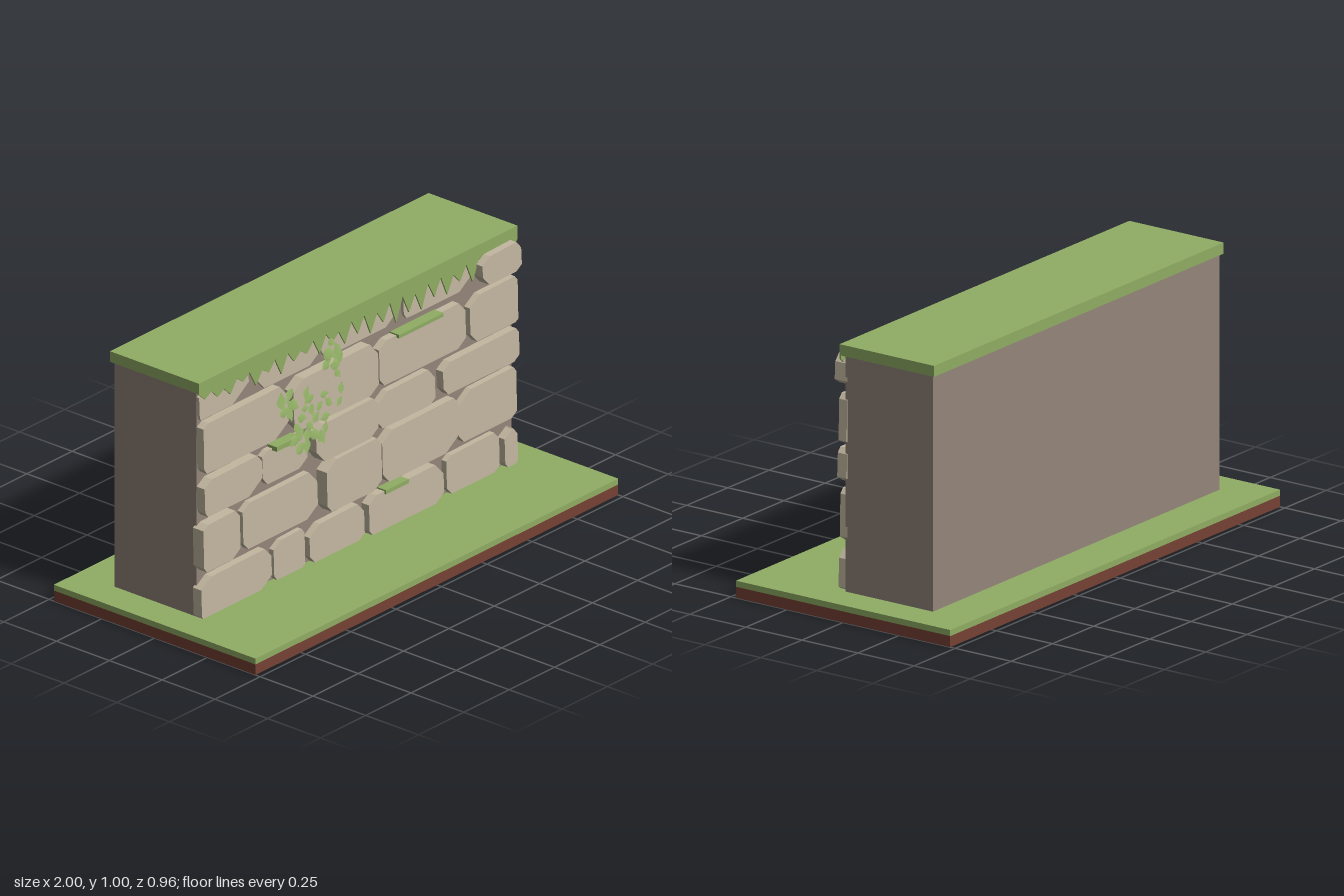
import * as THREE from 'three';

const mat = (name, color, side = THREE.FrontSide) => {
  const m = new THREE.MeshStandardMaterial({ color, side });
  m.name = name;
  return m;
};

// Each stone: x0, x1, y0, y1, front z, then corner cuts (bottom left, bottom right, top right, top left)
const courses = {
  bottomCourse: [
    [-0.88, -0.49, 0.065, 0.222, 0.118, 0.01, 0.04, 0.04, 0.04],
    [-0.47, -0.295, 0.067, 0.222, 0.108, 0.02, 0.01, 0.02, 0.03],
    [-0.28, 0.025, 0.067, 0.215, 0.115, 0.03, 0.02, 0.04, 0.04],
    [0.04, 0.455, 0.067, 0.222, 0.122, 0.02, 0.03, 0.05, 0.03],
    [0.48, 0.775, 0.067, 0.225, 0.11, 0.03, 0.02, 0.03, 0.02],
    [0.79, 0.865, 0.067, 0.215, 0.12, 0.02, 0.01, 0.03, 0.03],
  ],
  secondCourse: [
    [-0.88, -0.675, 0.25, 0.44, 0.128, 0.02, 0.03, 0.03, 0.02],
    [-0.645, -0.23, 0.25, 0.435, 0.112, 0.03, 0.04, 0.05, 0.03],
    [-0.21, 0.095, 0.25, 0.455, 0.137, 0.03, 0.03, 0.03, 0.04],
    [0.115, 0.54, 0.245, 0.45, 0.12, 0.04, 0.05, 0.03, 0.04],
    [0.545, 0.868, 0.25, 0.45, 0.112, 0.03, 0.02, 0.02, 0.05],
  ],
  thirdCourse: [
    [-0.87, -0.55, 0.465, 0.612, 0.125, 0.02, 0.05, 0.03, 0.03],
    [-0.535, -0.285, 0.467, 0.605, 0.11, 0.03, 0.03, 0.03, 0.02],
    [-0.27, 0.075, 0.465, 0.62, 0.137, 0.05, 0.03, 0.03, 0.03],
    [0.095, 0.415, 0.465, 0.608, 0.115, 0.03, 0.02, 0.04, 0.04],
    [0.45, 0.873, 0.475, 0.605, 0.12, 0.03, 0.02, 0.02, 0.03],
  ],
  fourthCourse: [
    [-0.87, -0.4, 0.635, 0.838, 0.12, 0.02, 0.05, 0.05, 0.02],
    [-0.385, 0.085, 0.63, 0.835, 0.13, 0.04, 0.03, 0.05, 0.04],
    [0.1, 0.58, 0.635, 0.815, 0.118, 0.03, 0.03, 0.04, 0.03],
    [0.605, 0.873, 0.625, 0.81, 0.114, 0.04, 0.01, 0.02, 0.04],
  ],
  topCourse: [
    [-0.87, -0.595, 0.845, 0.957, 0.099, 0.01, 0.06, 0.02, 0.02],
    [-0.56, -0.215, 0.848, 0.957, 0.099, 0.05, 0.03, 0.02, 0.02],
    [-0.2, 0.235, 0.85, 0.957, 0.099, 0.03, 0.05, 0.02, 0.02],
    [0.255, 0.655, 0.845, 0.957, 0.099, 0.02, 0.06, 0.02, 0.02],
    [0.65, 0.868, 0.84, 0.957, 0.135, 0.04, 0.02, 0.03, 0.03],
  ],
};

// Sharp-edged eight-sided block, bedded into the wall face
function stoneGeometry([x0, x1, y0, y1, front, bl, br, tr, tl]) {
  const shape = new THREE.Shape([
    [x0 + bl, y0], [x1 - br * 1.5, y0], [x1, y0 + br], [x1 - 0.004, y1 - tr],
    [x1 - tr, y1], [x0 + tl * 1.4, y1 - 0.004], [x0, y1 - tl], [x0 + 0.004, y0 + bl],
  ].map(([x, y]) => new THREE.Vector2(x, y)));
  const back = 0.078;
  return new THREE.ExtrudeGeometry(shape, { depth: front - back, bevelEnabled: false })
    .translate(0, 0, back);
}

// Hanging grass edge: saw teeth of varied length below the cap's front
function fringeGeometry() {
  const tips = [0.925, 0.91, 0.895, 0.92, 0.88, 0.905, 0.875, 0.9, 0.905, 0.88, 0.9, 0.87,
    0.885, 0.86, 0.88, 0.853, 0.87, 0.855, 0.88, 0.865, 0.89, 0.865, 0.9, 0.885, 0.91];
  const left = -0.88;
  const step = 1.757 / tips.length;
  const shape = new THREE.Shape();
  shape.moveTo(left, 1);
  shape.lineTo(left, 0.955);
  tips.forEach((y, i) => {
    shape.lineTo(left + (i + 0.5) * step, y);
    shape.lineTo(left + (i + 1) * step, i % 3 === 1 ? 0.93 : 0.945);
  });
  shape.lineTo(0.877, 1);
  return new THREE.ExtrudeGeometry(shape, { depth: 0.006, bevelEnabled: false }).translate(0, 0, 0.1);
}

// Pointed leaf folded along its middle rib
function leafGeometry() {
  const s = new THREE.Shape();
  s.moveTo(0, -0.5);
  [[0.28, -0.22], [0.34, 0.05], [0.15, 0.2], [0, 0.5], [-0.2, 0.22], [-0.32, 0], [-0.26, -0.25]]
    .forEach(([x, y]) => s.lineTo(x, y));
  const g = new THREE.ShapeGeometry(s);
  const p = g.attributes.position;
  for (let i = 0; i < p.count; i++) p.setZ(i, -Math.abs(p.getX(i)) * 0.2);
  g.computeVertexNormals();
  return g;
}

export function createModel() {
  const model = new THREE.Group();
  const earth = mat('earth brown', 0x764134);
  const green = mat('grass green', 0x90ad64);
  const leafGreen = mat('leaf green', 0x98b76a, THREE.DoubleSide);
  const mortar = mat('mortar grey', 0x93857a);
  const stone = mat('pale stone', 0xc3b8a1);

  const add = (name, geometry, material, parent = model) => {
    const mesh = new THREE.Mesh(geometry, material);
    mesh.name = name;
    parent.add(mesh);
    return mesh;
  };
  // Box given by its limits
  const box = (name, material, x0, x1, y0, y1, z0, z1) =>
    add(name, new THREE.BoxGeometry(x1 - x0, y1 - y0, z1 - z0), material)
      .position.set((x0 + x1) / 2, (y0 + y1) / 2, (z0 + z1) / 2);

  // Hollow earth base: thin rim around a recessed underside
  const rim = 0.002;
  box('earthUnderside', earth, -1, 1, 0.04, 0.042, -0.478, 0.478);
  box('earthRimFront', earth, -1, 1, 0, 0.04, 0.478 - rim, 0.478);
  box('earthRimBack', earth, -1, 1, 0, 0.04, -0.478, rim - 0.478);
  box('earthRimLeft', earth, 1 - rim, 1, 0, 0.04, rim - 0.478, 0.478 - rim);
  box('earthRimRight', earth, -1, rim - 1, 0, 0.04, rim - 0.478, 0.478 - rim);

  // Ground, wall core and turf cap
  box('groundGrass', green, -1, 1, 0.042, 0.065, -0.478, 0.478);
  box('wallCore', mortar, -0.87, 0.867, 0.065, 0.958, -0.303, 0.087);
  box('turfCap', green, -0.88, 0.877, 0.958, 1, -0.315, 0.1);
  add('grassFringe', fringeGeometry(), green);

  // Stone facing on the front
  for (const [name, stones] of Object.entries(courses)) {
    const course = new THREE.Group();
    course.name = name;
    model.add(course);
    stones.forEach((s, i) => add(`stone${i + 1}`, stoneGeometry(s), stone, course));
  }

  // Moss strips lying on stone ledges
  box('mossStripUpper', green, 0.195, 0.44, 0.803, 0.817, 0.087, 0.132);
  box('mossStripLower', green, 0.125, 0.25, 0.208, 0.224, 0.087, 0.13);
  box('mossStripLeft', green, -0.48, -0.35, 0.594, 0.612, 0.087, 0.132);

  // Climbing leaves: x, y, size
  const leaves = [
    [-0.46, 0.79, 0.07], [-0.42, 0.8, 0.06], [-0.45, 0.745, 0.065], [-0.4, 0.755, 0.07], [-0.415, 0.72, 0.055],
    [-0.33, 0.78, 0.055], [-0.31, 0.745, 0.055], [-0.2, 0.885, 0.08], [-0.16, 0.895, 0.06], [-0.145, 0.85, 0.07],
    [-0.215, 0.85, 0.06], [-0.175, 0.835, 0.065], [-0.15, 0.79, 0.045], [-0.135, 0.73, 0.05], [-0.15, 0.68, 0.045],
    [-0.225, 0.735, 0.045], [-0.205, 0.7, 0.05], [-0.3, 0.7, 0.055], [-0.27, 0.66, 0.05], [-0.225, 0.645, 0.055],
    [-0.31, 0.64, 0.055], [-0.36, 0.63, 0.065], [-0.32, 0.605, 0.065], [-0.36, 0.57, 0.07], [-0.28, 0.595, 0.065],
    [-0.24, 0.57, 0.065], [-0.225, 0.605, 0.055], [-0.39, 0.605, 0.06], [-0.35, 0.685, 0.055], [-0.385, 0.66, 0.05],
    [-0.32, 0.56, 0.06], [-0.255, 0.7, 0.045], [-0.34, 0.72, 0.045], [-0.185, 0.925, 0.045],
  ];
  const climber = new THREE.Group();
  climber.name = 'climbingLeaves';
  model.add(climber);
  const leaf = leafGeometry();
  leaves.forEach(([x, y, size], i) => {
    const mesh = add('leaf', leaf, leafGreen, climber);
    mesh.position.set(x, y, 0.142 + 0.003 * (i % 3 - 1));
    mesh.rotation.set(-0.1, 0.1 * (i % 3 - 1), i * 2.4);
    mesh.scale.setScalar(size);
  });
  return model;
}
